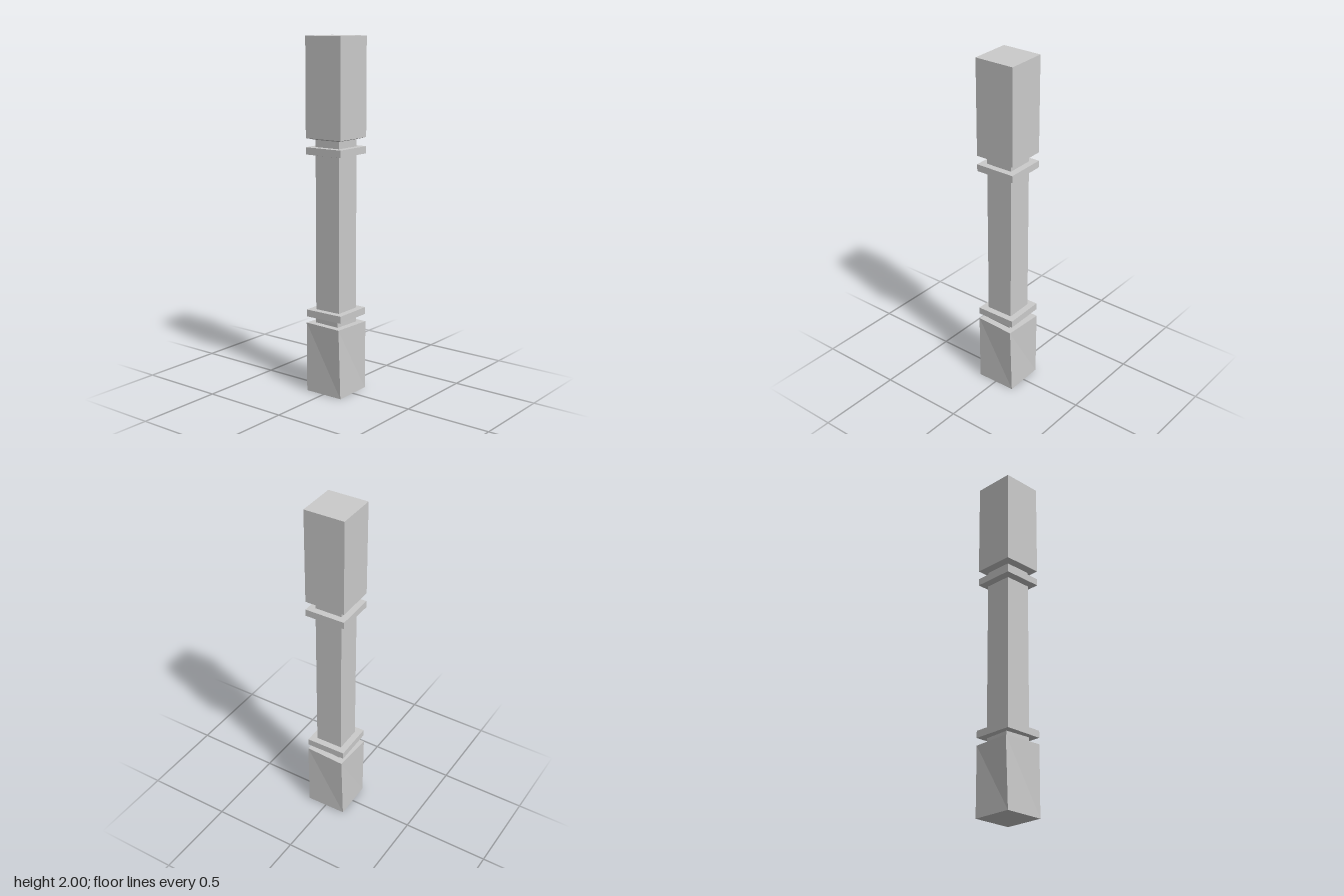
import * as THREE from 'three';

const BLOCK = 0.118, SHAFT = 0.08;   // half widths
const A = 0.02, B = -0.045;          // slight turns of the square sections

// Each part is a run of square cross-sections: [height, half width, turn]
const parts = {
  baseBlock: [[0, 0, A], [0, BLOCK, A], [0.4, BLOCK, B], [0.4, SHAFT, B]],
  lowerNeck: [[0.4, SHAFT, B], [0.44, SHAFT, B]],
  lowerCollar: [[0.44, SHAFT, B], [0.44, BLOCK, A], [0.48, BLOCK, A], [0.48, SHAFT, A]],
  shaft: [[0.48, SHAFT, A], [1.353, SHAFT, A]],
  upperCollar: [[1.353, SHAFT, A], [1.36, BLOCK, A], [1.4, BLOCK, A], [1.4, SHAFT, A]],
  upperNeck: [[1.4, SHAFT, A], [1.44, SHAFT, A]],
  topBlock: [[1.44, SHAFT, A], [1.45, BLOCK, A], [2, BLOCK, A], [2, 0, A]],
};

function corner([y, half, turn], k) {
  const a = turn + (k - 0.5) * Math.PI / 2, r = half * Math.SQRT2;
  return [Math.sin(a) * r, y, Math.cos(a) * r];
}

// Joins successive square sections with four faces each
function squareLoft(sections) {
  const pos = [];
  for (let i = 0; i < sections.length - 1; i++) {
    const low = sections[i], high = sections[i + 1];
    for (let k = 0; k < 4; k++) {
      const a = corner(low, k), b = corner(low, k + 1);
      const c = corner(high, k + 1), d = corner(high, k);
      if (low[1] > 0) pos.push(...a, ...b, ...(high[1] > 0 ? d : c));
      if (high[1] > 0) pos.push(...b, ...c, ...d);
    }
  }
  const geometry = new THREE.BufferGeometry();
  geometry.setAttribute('position', new THREE.Float32BufferAttribute(pos, 3));
  geometry.computeVertexNormals();
  return geometry;
}

export function createModel() {
  const post = new THREE.Group();
  post.name = 'squarePost';
  const material = new THREE.MeshStandardMaterial({ color: 0xcccccc, flatShading: true });
  for (const [name, sections] of Object.entries(parts)) {
    const mesh = new THREE.Mesh(squareLoft(sections), material);
    mesh.name = name;
    post.add(mesh);
  }
  return post;
}
